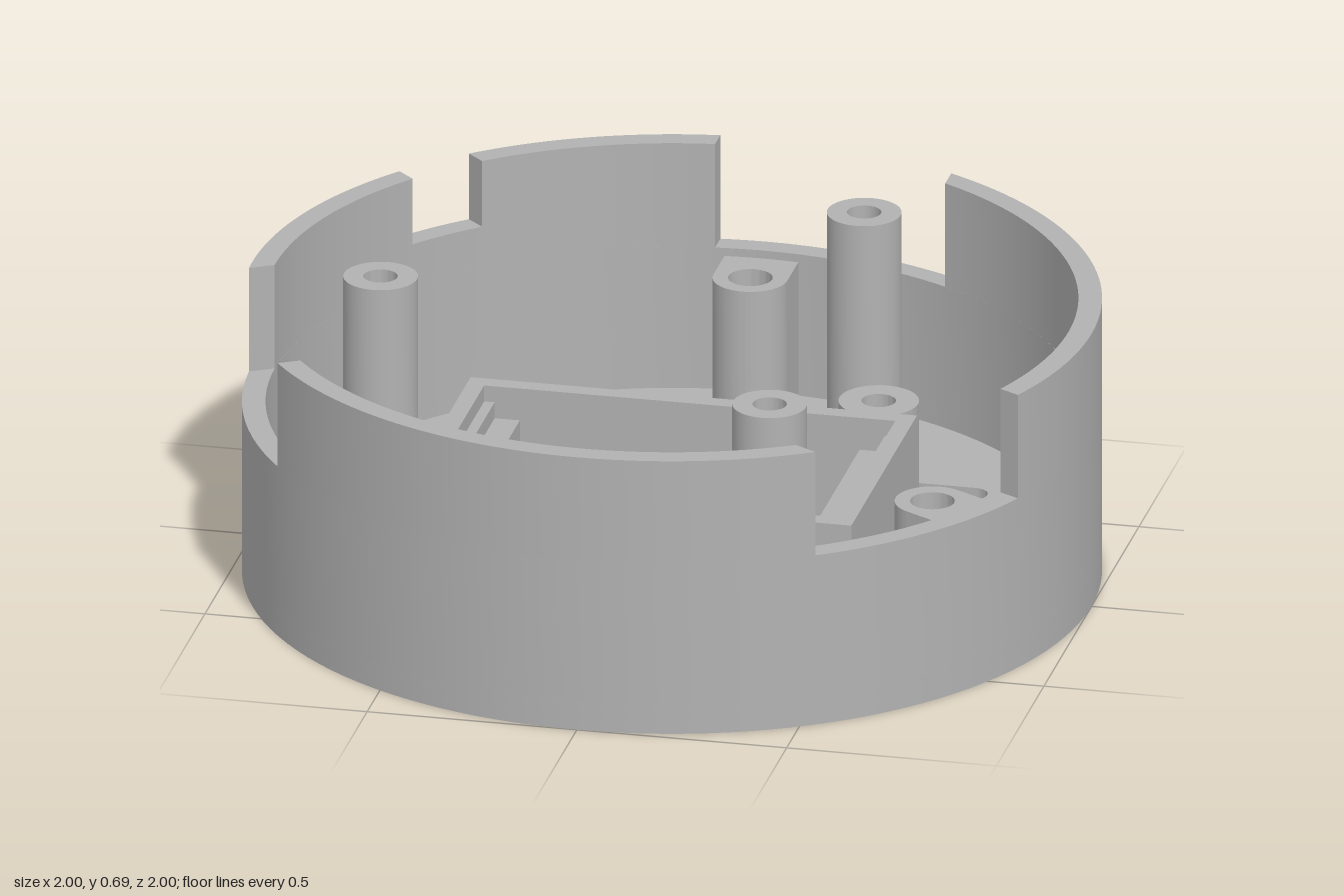
import * as THREE from 'three';
import { toCreasedNormals } from 'three/addons/utils/BufferGeometryUtils.js';

const FLOOR = 0.07, LIP = 0.425, TOP = 0.685, R = 1, RI = 0.945;
const FRAME_TOP = 0.345, TAB_TOP = 0.405, SINK_Y = 0.025;

export function createModel() {
  const model = new THREE.Group();
  model.name = 'roundEnclosure';
  const grey = new THREE.MeshStandardMaterial({ color: 0xb2b2b2, side: THREE.DoubleSide });
  grey.name = 'grey plastic';

  // Plan shapes are drawn with x right and -z up, then raised from y0 to y1
  function raise(name, shape, y0, y1, curveSegments = 24) {
    let g = new THREE.ExtrudeGeometry(shape, { depth: y1 - y0, bevelEnabled: false, curveSegments });
    g.rotateX(-Math.PI / 2);
    g.translate(0, y0, 0);
    return add(name, toCreasedNormals(g, 0.5));
  }
  function add(name, geometry) {
    const m = new THREE.Mesh(geometry, grey);
    m.name = name;
    model.add(m);
    return m;
  }
  function circle(x, z, r, Type = THREE.Path) {
    const p = new Type();
    p.absarc(x, -z, r, 0, Math.PI * 2, false);
    return p;
  }
  function rect(x0, x1, z0, z1, Type = THREE.Path) {
    return new Type([[x0, -z1], [x1, -z1], [x1, -z0], [x0, -z0]].map(([x, y]) => new THREE.Vector2(x, y)));
  }

  const sinks = [[-0.43, -0.72], [0.83, 0], [-0.07, 0.83]];
  const tabAngles = [Math.PI / 2, -Math.PI / 6, Math.PI * 7 / 6];
  const TAB_R = 0.825;

  // Floor in two layers so that the screw holes can be countersunk
  function floorLayer(name, y0, y1, sinkRadius) {
    const s = circle(0, 0, R, THREE.Shape);
    for (const [x, z] of sinks) s.holes.push(circle(x, z, sinkRadius));
    for (const a of tabAngles) s.holes.push(circle(TAB_R * Math.cos(a), -TAB_R * Math.sin(a), 0.052));
    for (let i = -3; i <= 3; i++) {
      s.holes.push(rect(i * 0.1035 - 0.024, i * 0.1035 + 0.024, -0.11, 0.335));
    }
    const slot = new THREE.Path();
    slot.absarc(0.615, 0.445, 0.036, -Math.PI / 2, Math.PI / 2, false);
    slot.absarc(-0.325, 0.445, 0.036, Math.PI / 2, Math.PI * 1.5, false);
    slot.closePath();
    s.holes.push(slot);
    raise(name, s, y0, y1, 64);
  }
  floorLayer('floorBottom', 0, SINK_Y, 0.052);
  floorLayer('floorTop', SINK_Y, FLOOR, 0.094);
  for (const [x, z] of sinks) {
    const cone = new THREE.LatheGeometry(
      [new THREE.Vector2(0.052, SINK_Y), new THREE.Vector2(0.094, FLOOR)], 32);
    add('countersink', cone).position.set(x, 0, z);
  }

  // Full lower wall
  const ring = circle(0, 0, R, THREE.Shape);
  ring.holes.push(circle(0, 0, RI));
  raise('lowerWall', ring, FLOOR, LIP, 64);

  // Upper wall pieces between straight-sided notches; an edge is a direction and a sideways offset
  const at = ([dir, side], r) => dir + Math.asin(side / r);
  function wallPiece(name, from, to, y1) {
    const s = new THREE.Shape();
    s.absarc(0, 0, R, at(from, R), at(to, R), false);
    s.absarc(0, 0, RI, at(to, RI), at(from, RI), true);
    s.closePath();
    raise(name, s, LIP, y1, 40);
  }
  const [back, frontLeft, frontRight] = tabAngles;
  const small = Math.PI * 136.5 / 180;
  wallPiece('upperWall', [frontLeft, 0.11], [back, -0.465], TOP);
  wallPiece('upperWall', [back, 0.11], [small, -0.097], TOP);
  wallPiece('smallNotchSill', [small, -0.097], [small, 0.097], 0.52);
  wallPiece('upperWall', [small, 0.097], [frontRight, -0.465], TOP);
  wallPiece('upperWall', [frontRight, 0.11], [frontLeft + 2 * Math.PI, -0.465], TOP);

  // Screw tabs joined to the wall
  for (const a of tabAngles) {
    const s = new THREE.Shape();
    s.moveTo(0.95, 0.088);
    s.lineTo(TAB_R, 0.088);
    s.absarc(TAB_R, 0, 0.088, Math.PI / 2, Math.PI * 1.5, false);
    s.lineTo(0.95, -0.088);
    s.closePath();
    s.holes.push(circle(TAB_R, 0, 0.052));
    raise('wallTab', s, FLOOR, TAB_TOP).rotation.y = a;
  }

  // Hollow posts: three tall, two short ones at the frame
  function post(name, x, z, r, y1) {
    const s = circle(x, z, r, THREE.Shape);
    s.holes.push(circle(x, z, 0.04));
    raise(name, s, FLOOR, y1);
  }
  for (const [x, z] of [[0.32, -0.61], [-0.69, 0.02], [0.365, 0.583]]) post('tallPost', x, z, 0.087, TOP);
  for (const [x, z] of [[0.425, -0.3], [-0.43, 0.53]]) post('framePost', x, z, 0.094, FRAME_TOP);

  // Rectangular frame around the vents, with stepped ledges at both ends
  const frame = rect(-0.532, 0.532, -0.23, 0.46, THREE.Shape);
  frame.holes.push(rect(-0.49, 0.49, -0.187, 0.417));
  raise('frame', frame, FLOOR, FRAME_TOP);
  for (const s of [-1, 1]) {
    for (const [x0, x1, y1] of [[0.405, 0.465, 0.265], [0.465, 0.49, 0.305]]) {
      const g = new THREE.BoxGeometry(x1 - x0, y1 - FLOOR, 0.604);
      add('frameLedge', g).position.set(s * (x0 + x1) / 2, (y1 + FLOOR) / 2, 0.115);
    }
  }
  return model;
}
